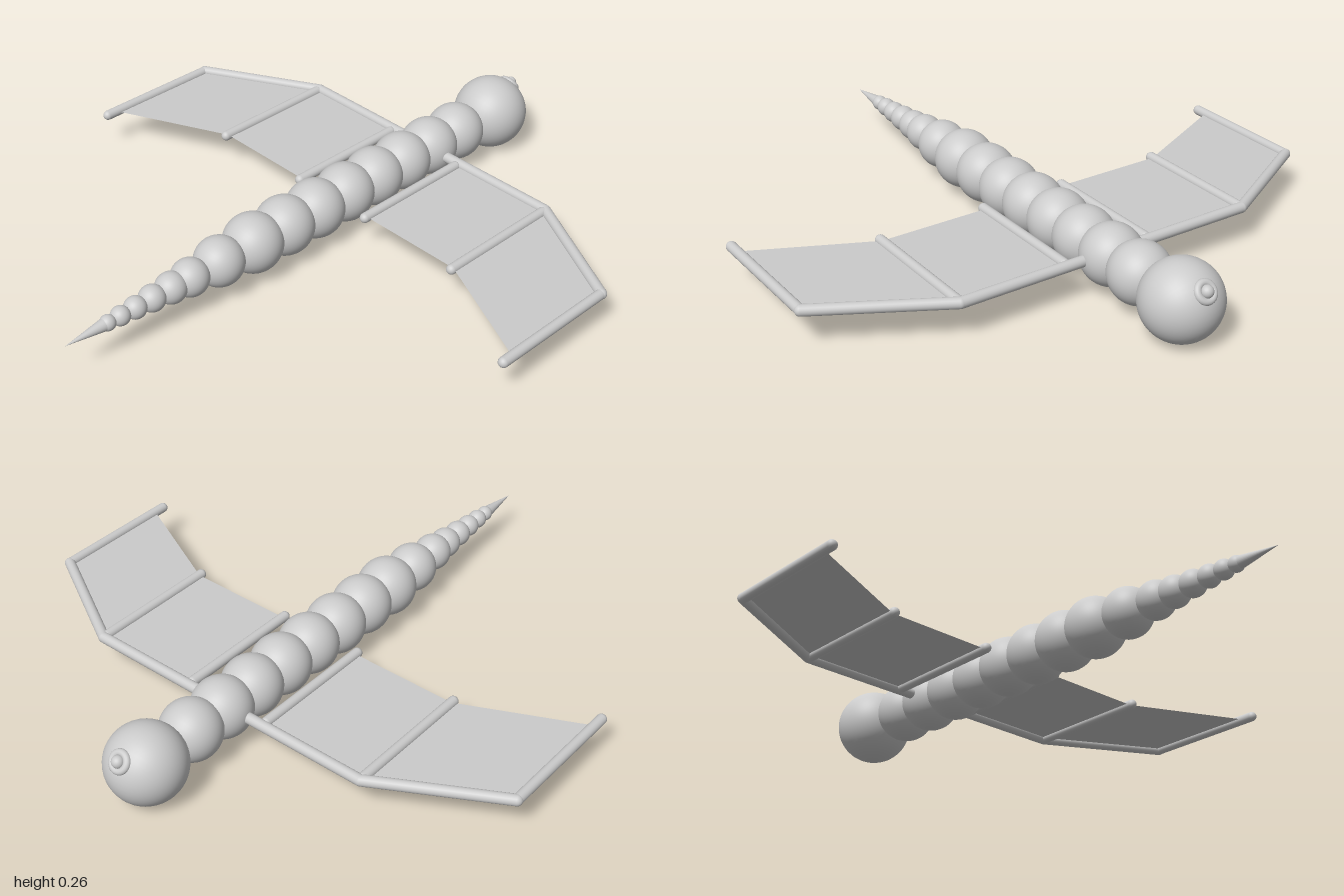
import * as THREE from 'three';

const Y = 0.13; // height of the body axis
const material = new THREE.MeshStandardMaterial({ color: 0xcccccc });
const membraneMaterial = new THREE.MeshStandardMaterial({ color: 0xcccccc, side: THREE.DoubleSide });

export function createModel() {
  const model = new THREE.Group();

  function add(name, geometry, parent = model) {
    const mesh = new THREE.Mesh(geometry, material);
    mesh.name = name;
    parent.add(mesh);
    return mesh;
  }

  function ball(name, x, radius) {
    const mesh = add(name, new THREE.SphereGeometry(radius, 40, 28).rotateX(Math.PI / 2));
    mesh.position.set(x, Y, 0);
  }

  // Round-ended rod between two [x, z] points at wing height
  function rod(name, a, b, radius, parent) {
    const start = new THREE.Vector3(a[0], Y, a[1]);
    const end = new THREE.Vector3(b[0], Y, b[1]);
    const direction = end.clone().sub(start);
    const length = direction.length();
    const mesh = add(name, new THREE.CapsuleGeometry(radius, length, 8, 20), parent);
    mesh.position.copy(start).add(end).multiplyScalar(0.5);
    mesh.quaternion.setFromUnitVectors(new THREE.Vector3(0, 1, 0), direction.normalize());
  }

  // Head
  ball('head', 0.865, 0.128);

  // Snout: ring and small bead sitting on the upper front of the head
  const snout = new THREE.Group();
  snout.name = 'snout';
  const tilt = 0.63;
  snout.position.set(0.865 + 0.122 * Math.cos(tilt), Y + 0.122 * Math.sin(tilt), 0);
  snout.rotation.z = tilt;
  add('snoutRing', new THREE.TorusGeometry(0.027, 0.012, 14, 32).rotateY(Math.PI / 2), snout);
  add('snoutBead', new THREE.SphereGeometry(0.02, 24, 16), snout).position.x = 0.008;
  model.add(snout);

  // Thorax: equal overlapping segments
  for (let i = 0; i < 8; i++) ball('bodySegment', 0.677 - i * 0.1355, 0.1);

  // Tail: shrinking segments and a pointed sting
  const tail = [
    [-0.412, 0.083], [-0.53, 0.063], [-0.605, 0.052], [-0.678, 0.044],
    [-0.742, 0.037], [-0.798, 0.032], [-0.845, 0.026],
  ];
  for (const [x, radius] of tail) ball('tailSegment', x, radius);
  const tip = add('tailTip', new THREE.ConeGeometry(0.022, 0.15, 24).rotateZ(Math.PI / 2));
  tip.position.set(-0.925, Y, 0);

  // Wings, one on each side
  for (const side of [1, -1]) {
    const wing = new THREE.Group();
    wing.name = side > 0 ? 'rightWing' : 'leftWing';
    model.add(wing);
    const inner = 0.152 * side, middle = 0.527 * side, outer = 0.92 * side;

    // Leading spars
    rod('innerSpar', [0.53, 0], [0.53, middle], 0.018, wing);
    rod('outerSpar', [0.53, middle], [0.313, outer], 0.018, wing);

    // Ribs
    rod('innerRib', [0.077, inner], [0.51, inner], 0.017, wing);
    rod('middleRib', [0.077, middle], [0.515, middle], 0.017, wing);
    rod('tipRib', [-0.138, outer], [0.31, outer], 0.017, wing);

    // Flat skin between the ribs
    const shape = new THREE.Shape([
      [0.085, inner], [0.53, inner], [0.53, middle],
      [0.313, outer], [-0.1, outer], [0.085, middle],
    ].map(([x, z]) => new THREE.Vector2(x, -z)));
    const membrane = add('wingMembrane', new THREE.ShapeGeometry(shape).rotateX(-Math.PI / 2), wing);
    membrane.material = membraneMaterial;
    membrane.position.y = Y;
  }

  return model;
}
